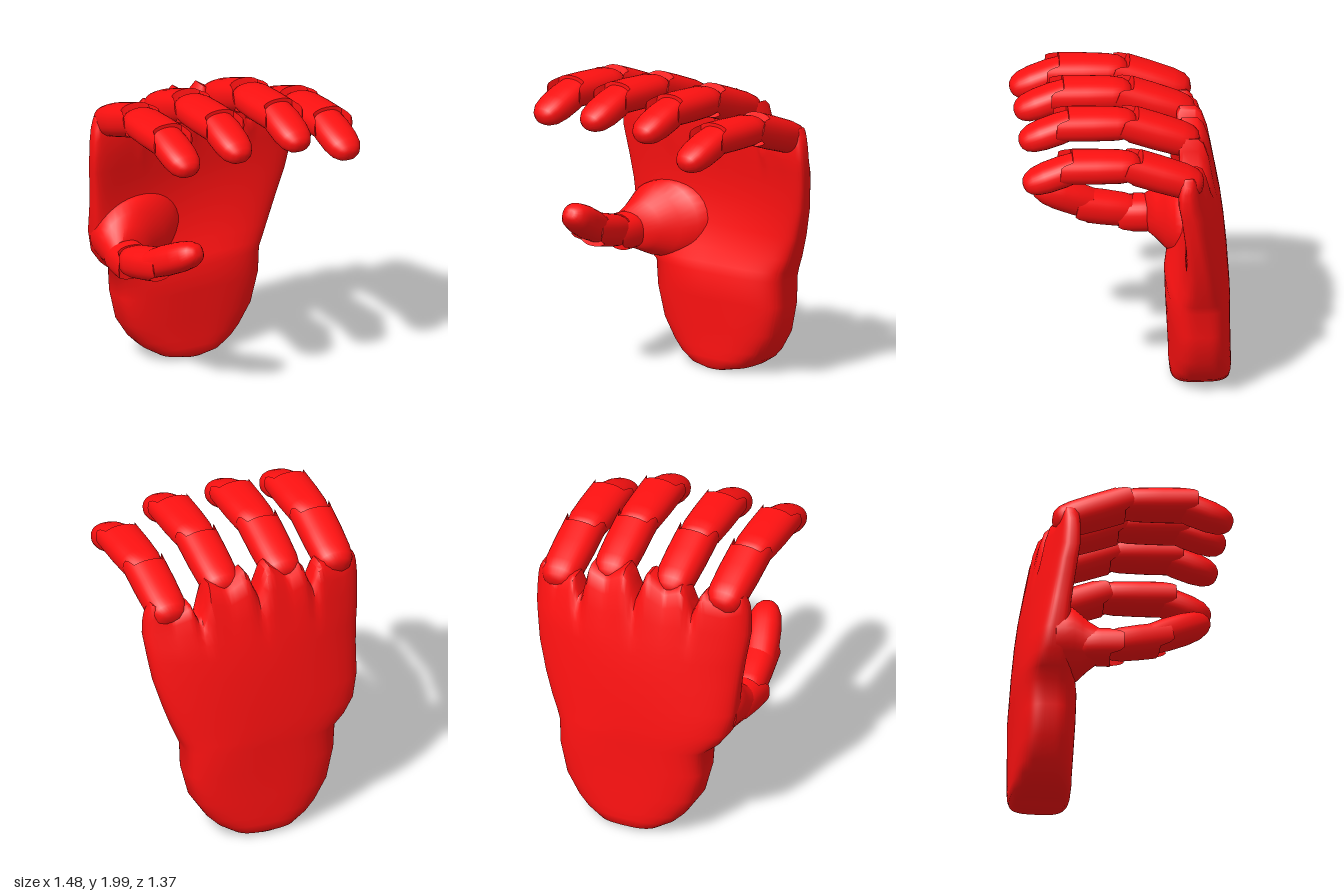
import * as THREE from 'three';
import { toCreasedNormals } from 'three/addons/utils/BufferGeometryUtils.js';

const material = new THREE.MeshStandardMaterial({ color: 0xff1111, side: THREE.DoubleSide });
const V = (x, y, z) => new THREE.Vector3(x, y, z);

// Skin over a list of closed rings; each end is closed by a strip between mirrored ring points.
function loft(rings, name) {
  const n = rings[0].length;
  const index = [];
  for (let r = 0; r < rings.length - 1; r++) {
    for (let i = 0; i < n; i++) {
      const a = r * n + i, b = r * n + (i + 1) % n;
      index.push(a, b, a + n, b, b + n, a + n);
    }
  }
  const last = (rings.length - 1) * n;
  for (let i = 0; i < n / 2; i++) {
    const a = i, b = i + 1, c = n - i - 1, d = (n - i) % n;
    if (b !== c) index.push(a, c, b, last + a, last + b, last + c);
    if (a !== d) index.push(a, d, c, last + a, last + c, last + d);
  }
  const geo = new THREE.BufferGeometry().setFromPoints(rings.flat());
  geo.setIndex(index);
  const mesh = new THREE.Mesh(toCreasedNormals(geo, 0.9), material);
  mesh.name = name;
  return mesh;
}

// Profiles: [position along segment, radius scale]
const SLEEVE = [[0, 0.35], [0.04, 0.68], [0.12, 0.88], [0.27, 0.98], [0.6, 1.02], [1, 1.02]];
const TIP = [[0, 0.9], [0.3, 1], [0.6, 0.98], [0.8, 0.87], [0.92, 0.66], [0.98, 0.42], [1, 0.2]];

// One finger bone; "prong" pushes the sides of the far rim forward past its top and bottom.
function bone(name, from, to, rx, ry, profile, prong = 0) {
  const dir = to.clone().sub(from).normalize();
  const right = V(1, 0, 0).addScaledVector(dir, -dir.x).normalize();
  const up = dir.clone().cross(right);
  const n = 32;
  const squash = (v) => Math.sign(v) * Math.abs(v) ** 0.85;
  const rings = profile.map(([t, s], k) => Array.from({ length: n }, (_, i) => {
    const a = i / n * Math.PI * 2;
    const rim = k === profile.length - 1
      ? prong * (THREE.MathUtils.smoothstep(Math.abs(Math.cos(a)), 0.68, 0.92) - 0.6) : 0;
    return from.clone().lerp(to, t)
      .addScaledVector(right, rx * s * squash(Math.cos(a)))
      .addScaledVector(up, ry * s * squash(Math.sin(a)))
      .addScaledVector(dir, rim);
  }));
  return loft(rings, name);
}

// Scalloped top edge of the palm as [x, y]: prongs beside each finger, notches between.
const TOP_EDGE = [[-0.74, 1.7], [-0.7, 1.78], [-0.59, 1.74], [-0.44, 1.78], [-0.38, 1.63],
  [-0.32, 1.81], [-0.2, 1.76], [-0.07, 1.86], [0, 1.66], [0.07, 1.85], [0.21, 1.76],
  [0.34, 1.81], [0.37, 1.58], [0.4, 1.56], [0.45, 1.68], [0.575, 1.62], [0.69, 1.7], [0.74, 1.6]];

function topEdge(x) {
  for (let i = 1; i < TOP_EDGE.length; i++) {
    const [x0, y0] = TOP_EDGE[i - 1], [x1, y1] = TOP_EDGE[i];
    if (x <= x1) return y0 + (y1 - y0) * Math.max(0, (x - x0) / (x1 - x0));
  }
  return TOP_EDGE[TOP_EDGE.length - 1][1];
}

// Palm and wrist: [y, min x, max x, front z, back z, forward bend of the edges]
function palm() {
  const rows = [
    [0.01, -0.1, 0.1, -0.32, -0.64, 0], [0.035, -0.22, 0.22, -0.295, -0.675, 0],
    [0.09, -0.31, 0.31, -0.29, -0.68, 0], [0.15, -0.37, 0.37, -0.29, -0.68, 0],
    [0.28, -0.455, 0.455, -0.285, -0.675, 0], [0.48, -0.505, 0.505, -0.275, -0.67, 0],
    [0.65, -0.515, 0.51, -0.27, -0.67, 0], [0.71, -0.59, 0.535, -0.295, -0.67, 0.02],
    [0.8, -0.655, 0.575, -0.335, -0.665, 0.04], [0.95, -0.69, 0.63, -0.38, -0.655, 0.07],
    [1.15, -0.7, 0.69, -0.4, -0.635, 0.1], [1.3, -0.715, 0.715, -0.39, -0.615, 0.11],
    [1.41, -0.73, 0.73, -0.375, -0.595, 0.11], [1.52, -0.74, 0.737, -0.36, -0.57, 0.11],
    [1.64, -0.74, 0.735, -0.345, -0.54, 0.09], [1.72, -0.735, 0.73, -0.345, -0.505, 0.07],
    [1.75, -0.725, 0.72, -0.365, -0.465, 0.05],
  ];
  const half = 80;
  const rings = rows.map(([y, x0, x1, zf, zb, bend]) => Array.from({ length: half * 2 }, (_, i) => {
    const front = i < half;
    const s = front ? -1 + 2 * i / half : 1 - 2 * (i - half) / half;
    const u = Math.sin(s * Math.PI / 2);
    const x = x0 + (u + 1) / 2 * (x1 - x0);
    const bulge = Math.max(0, 1 - Math.abs(u) ** 2.8) ** (1 / 3.5) * (front ? 1 : -1);
    const z = (zf + zb) / 2 + (zf - zb) / 2 * bulge + bend * u * u;
    return V(x, y > 1.4 ? 1.4 + (y - 1.4) / 0.35 * (topEdge(x) - 1.4) : y, z);
  }));
  return loft(rings, 'palm');
}

// Mound that carries the thumb on the palm
function thumbMound() {
  const steps = [[-0.37, 0.93, -0.46, 0.32, 0.25], [-0.38, 0.93, -0.4, 0.32, 0.255],
    [-0.42, 0.925, -0.34, 0.285, 0.245], [-0.47, 0.9, -0.29, 0.23, 0.21],
    [-0.53, 0.88, -0.24, 0.17, 0.16], [-0.585, 0.865, -0.18, 0.12, 0.115]];
  const rings = steps.map(([x, y, z, rx, ry]) => Array.from({ length: 32 }, (_, i) => {
    const a = i / 32 * Math.PI * 2;
    return V(x + rx * Math.cos(a), y + ry * Math.sin(a), z);
  }));
  return loft(rings, 'thumbMound');
}

export function createModel() {
  const hand = new THREE.Group();
  hand.name = 'hand';
  hand.add(palm(), thumbMound());

  // Four fingers: [name, base x, tip x, height of the middle bone]
  const fingers = [['indexFinger', -0.575, -0.595, 1.88], ['middleFinger', -0.21, -0.215, 1.9],
    ['ringFinger', 0.21, 0.215, 1.89], ['littleFinger', 0.575, 0.575, 1.76]];
  for (const [name, xb, xt, y] of fingers) {
    const finger = new THREE.Group();
    finger.name = name;
    finger.add(
      bone('proximalBone', V(xb, y - 0.17, -0.46), V((xb + xt) / 2, y - 0.005, 0), 0.132, 0.108, SLEEVE, 0.08),
      bone('middleBone', V((xb + xt) / 2, y - 0.015, -0.07), V(xt, y, 0.42), 0.136, 0.099, SLEEVE, 0.08),
      bone('fingertip', V(xt, y + 0.005, 0.32), V(xt, y - 0.125, 0.68), 0.12, 0.093, TIP));
    hand.add(finger);
  }

  // Thumb
  const thumb = new THREE.Group();
  thumb.name = 'thumb';
  thumb.add(
    bone('thumbSocket', V(-0.57, 0.86, -0.32), V(-0.595, 0.857, -0.05), 0.125, 0.115, SLEEVE, 0.09),
    bone('thumbBone', V(-0.6, 0.86, -0.14), V(-0.545, 0.95, 0.24), 0.115, 0.105, SLEEVE, 0.1),
    bone('thumbTip', V(-0.575, 0.93, 0.14), V(-0.46, 1.13, 0.54), 0.112, 0.1, TIP));
  hand.add(thumb);
  return hand;
}
